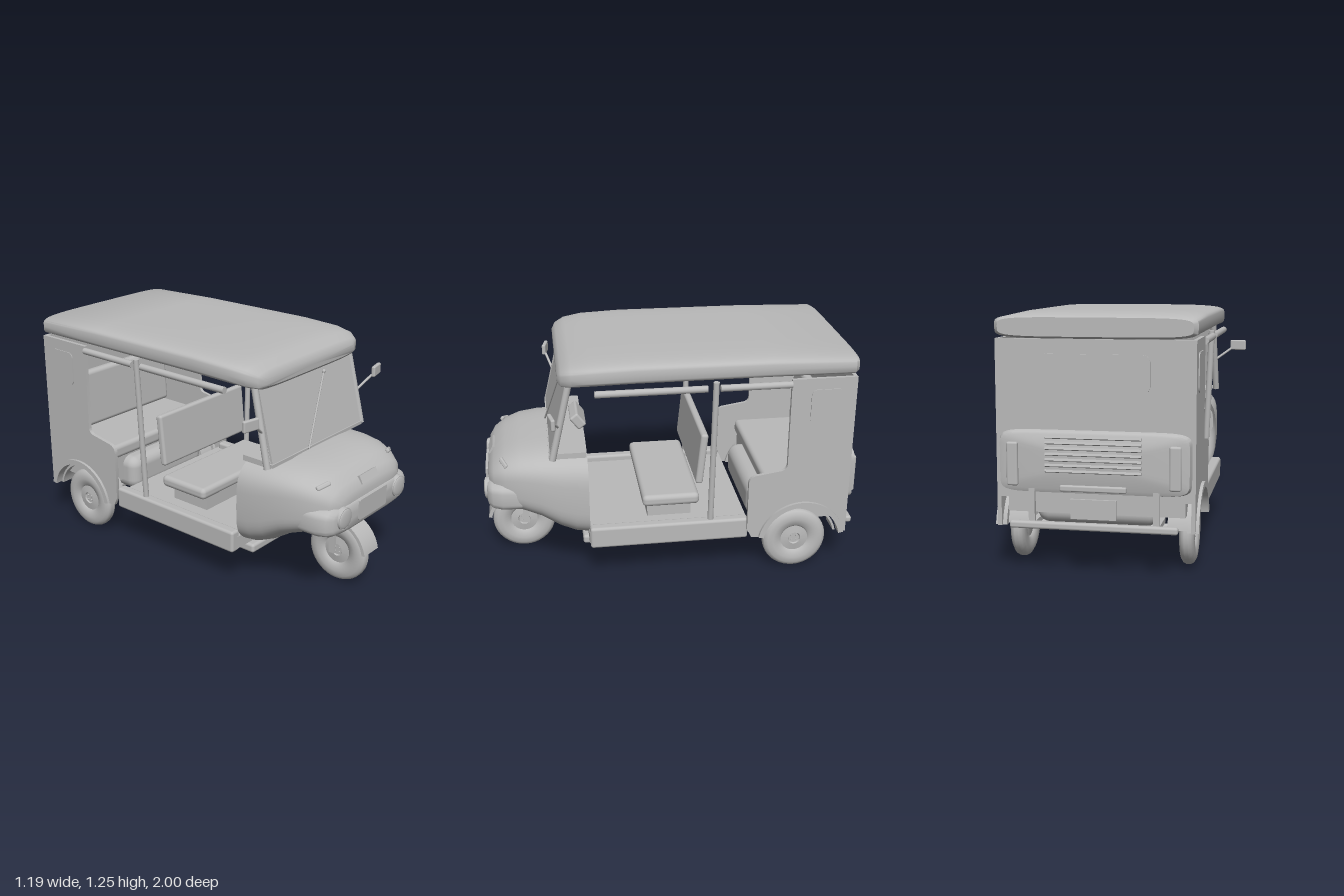
import * as THREE from 'three';
import { toCreasedNormals } from 'three/addons/utils/BufferGeometryUtils.js';
import { RoundedBoxGeometry } from 'three/addons/geometries/RoundedBoxGeometry.js';

const grey = new THREE.MeshStandardMaterial({ color: 0xbababa, side: THREE.DoubleSide });
grey.name = 'plain grey';

// Rounded loft along z; each section is [z, half width, bottom, top]
function loft(sections, power, closeBack = true) {
  const n = 64, pos = [], idx = [];
  const first = sections[0], last = sections[sections.length - 1];
  const collapse = s => [s[0], 0, (s[2] + s[3]) / 2, (s[2] + s[3]) / 2];
  const rings = [...(closeBack ? [collapse(first)] : []), ...sections, collapse(last)];
  const bend = v => Math.sign(v) * Math.abs(v) ** (2 / power);
  for (const [z, w, lo, hi] of rings) {
    for (let j = 0; j < n; j++) {
      const a = j / n * Math.PI * 2;
      pos.push(w * bend(Math.cos(a)), (lo + hi) / 2 + (hi - lo) / 2 * bend(Math.sin(a)), z);
    }
  }
  for (let i = 0; i < rings.length - 1; i++) {
    for (let j = 0; j < n; j++) {
      const k = (j + 1) % n, a = i * n + j, b = i * n + k;
      idx.push(a, b, b + n, a, b + n, a + n);
    }
  }
  const g = new THREE.BufferGeometry();
  g.setAttribute('position', new THREE.Float32BufferAttribute(pos, 3));
  g.setIndex(idx);
  return toCreasedNormals(g, 0.75);
}

// Extrude a shape drawn in (z, y) across x, from x0 to x1
function sideways(shape, x0, x1) {
  const g = new THREE.ExtrudeGeometry(shape, { depth: x1 - x0, bevelEnabled: false, curveSegments: 24 });
  return toCreasedNormals(g.rotateY(-Math.PI / 2).translate(x1, 0, 0), 0.6);
}

// Curved strip around a wheel
function arch(z, y, inner, outer, a0, a1, x0, x1) {
  const s = new THREE.Shape();
  s.absarc(z, y, outer, a0, a1, false);
  s.absarc(z, y, inner, a1, a0, true);
  return sideways(s, x0, x1);
}

// Flat rounded panel facing +z
function roundedPanel(w, h, r, depth) {
  const s = new THREE.Shape(), x = w / 2 - r, y = h / 2 - r;
  s.absarc(x, y, r, 0, Math.PI / 2);
  s.absarc(-x, y, r, Math.PI / 2, Math.PI);
  s.absarc(-x, -y, r, Math.PI, Math.PI * 1.5);
  s.absarc(x, -y, r, Math.PI * 1.5, Math.PI * 2);
  return new THREE.ExtrudeGeometry(s, { depth, bevelEnabled: false, curveSegments: 6 }).translate(0, 0, -depth / 2);
}

export function createModel() {
  const model = new THREE.Group();
  model.name = 'threeWheeler';

  const add = (name, geometry, x = 0, y = 0, z = 0, rx = 0, ry = 0, rz = 0) => {
    const m = new THREE.Mesh(geometry, grey);
    m.name = name;
    m.position.set(x, y, z);
    m.rotation.set(rx, ry, rz);
    model.add(m);
    return m;
  };
  const box = (name, w, h, d, x, y, z, rx, ry, rz) => add(name, new THREE.BoxGeometry(w, h, d), x, y, z, rx, ry, rz);
  const soft = (name, w, h, d, r, x, y, z, rx, ry, rz) =>
    add(name, new RoundedBoxGeometry(w, h, d, 3, r), x, y, z, rx, ry, rz);
  const rod = (name, from, to, r) => {
    const a = new THREE.Vector3(...from), b = new THREE.Vector3(...to), d = b.clone().sub(a);
    const m = add(name, new THREE.CylinderGeometry(r, r, d.length(), 12));
    m.position.copy(a).lerp(b, 0.5);
    m.quaternion.setFromUnitVectors(new THREE.Vector3(0, 1, 0), d.normalize());
    return m;
  };
  const sides = [[1, 'left'], [-1, 'right']];

  // Roof
  add('roof', loft([
    [-0.946, 0.465, 1.135, 1.225], [-0.925, 0.485, 1.125, 1.237], [-0.5, 0.487, 1.125, 1.25],
    [0.2, 0.487, 1.125, 1.253], [0.42, 0.482, 1.12, 1.245], [0.52, 0.46, 1.112, 1.232],
    [0.57, 0.425, 1.108, 1.21], [0.588, 0.38, 1.125, 1.18],
  ], 5));

  // Front body shell and the swollen band across its nose
  add('frontBody', loft([
    [0.45, 0.435, 0.22, 0.735], [0.52, 0.433, 0.23, 0.735], [0.6, 0.43, 0.268, 0.735],
    [0.7, 0.418, 0.335, 0.731], [0.8, 0.395, 0.375, 0.72], [0.88, 0.362, 0.4, 0.695],
    [0.94, 0.32, 0.425, 0.655], [0.968, 0.27, 0.45, 0.615], [0.975, 0.2, 0.48, 0.585],
  ], 3.8, false));
  add('noseBand', loft([
    [0.8, 0.385, 0.4, 0.575], [0.9, 0.382, 0.4, 0.578], [0.95, 0.362, 0.405, 0.573],
    [0.975, 0.335, 0.42, 0.562], [0.984, 0.29, 0.435, 0.55],
  ], 4.5));
  add('frontPlate', roundedPanel(0.25, 0.11, 0.008, 0.014), 0, 0.505, 0.985);
  box('noseBadge', 0.15, 0.045, 0.03, 0, 0.637, 0.946, -0.5);
  box('dashboard', 0.78, 0.03, 0.17, 0, 0.73, 0.54);
  soft('instrumentPod', 0.2, 0.085, 0.055, 0.012, 0, 0.79, 0.48, 0.65);

  // Windscreen and wiper
  const slope = -0.245;
  box('windscreen', 0.78, 0.41, 0.012, 0, 0.922, 0.593, slope);
  box('windscreenSill', 0.8, 0.018, 0.03, 0, 0.735, 0.635);
  rod('wiper', [-0.1, 0.74, 0.655], [0.13, 1.08, 0.57], 0.005);
  add('wiperKnob', new THREE.SphereGeometry(0.011, 12, 8), 0.13, 1.08, 0.57);

  // Front wheel guard and fork
  add('frontMudguard', arch(0.8, 0.178, 0.185, 0.203, 0.2, 2.7, -0.064, 0.064));
  box('steeringColumn', 0.09, 0.16, 0.09, 0, 0.42, 0.76);
  for (const [s] of sides) box('fork', 0.014, 0.22, 0.035, s * 0.05, 0.275, 0.79);

  // Wheels
  const tyre = [[0, -0.018], [0.03, -0.018], [0.034, -0.026], [0.075, -0.02], [0.085, -0.03], [0.12, -0.037],
    [0.15, -0.035], [0.168, -0.024], [0.175, -0.01]];
  const profile = [...tyre, ...tyre.slice().reverse().map(([r, h]) => [r, -h])].map(p => new THREE.Vector2(...p));
  const wheelGeometry = toCreasedNormals(new THREE.LatheGeometry(profile, 40), 0.6).rotateZ(Math.PI / 2);
  const wheel = (name, x, z) => {
    add(name, wheelGeometry, x, 0.175, z);
    for (let i = 0; i < 4; i++) {
      const a = (i + 0.5) * Math.PI / 2;
      add('wheelNuts', new THREE.CylinderGeometry(0.006, 0.006, 0.05, 8),
        x, 0.175 + 0.018 * Math.sin(a), z + 0.018 * Math.cos(a), 0, 0, Math.PI / 2);
    }
  };
  wheel('frontWheel', 0, 0.803);
  wheel('rearLeftWheel', 0.422, -0.665);
  wheel('rearRightWheel', -0.422, -0.665);
  rod('rearAxle', [-0.42, 0.175, -0.665], [0.42, 0.175, -0.665], 0.02);

  // Floor and underbody
  soft('underTray', 0.67, 0.05, 0.905, 0.015, 0, 0.19, 0.032);
  box('floor', 0.86, 0.07, 0.86, 0, 0.26, 0.025);
  soft('engineHousing', 0.6, 0.2, 0.48, 0.06, 0, 0.33, -0.67);

  // Driver and passenger seats
  box('driverSeatBase', 0.6, 0.1, 0.24, 0, 0.34, 0.01);
  soft('driverSeat', 0.72, 0.065, 0.31, 0.025, 0, 0.41, 0.005);
  soft('driverBackrest', 0.7, 0.29, 0.04, 0.015, 0, 0.64, -0.162, -0.1);
  box('passengerSeatBase', 0.86, 0.16, 0.4, 0, 0.37, -0.72);
  soft('passengerSeat', 0.86, 0.08, 0.4, 0.025, 0, 0.48, -0.7);
  soft('passengerBackrest', 0.86, 0.34, 0.06, 0.025, 0, 0.69, -0.88, -0.06);

  // Side panel outline with the wheel opening
  const panel = new THREE.Shape();
  panel.moveTo(-0.415, 0.22);
  panel.lineTo(-0.39, 0.27);
  panel.lineTo(-0.39, 0.54);
  panel.quadraticCurveTo(-0.39, 0.58, -0.43, 0.59);
  panel.lineTo(-0.56, 0.61);
  panel.quadraticCurveTo(-0.595, 0.615, -0.595, 0.65);
  panel.lineTo(-0.595, 1.125);
  panel.lineTo(-0.94, 1.125);
  panel.lineTo(-0.94, 0.22);
  panel.absarc(-0.69, 0.178, 0.235, Math.PI - 0.17, 0.17, true);

  for (const [s, side] of sides) {
    // Cabin sides
    const span = (a, b) => s > 0 ? [a, b] : [-b, -a];
    add(side + 'SidePanel', sideways(panel, ...span(0.46, 0.48)));
    add(side + 'SideWindow', roundedPanel(0.17, 0.19, 0.03, 0.008), s * 0.481, 0.97, -0.785, 0, Math.PI / 2);
    add(side + 'WheelArch', arch(-0.69, 0.178, 0.212, 0.24, 0.18, Math.PI - 0.18, ...span(0.44, 0.495)));
    add(side + 'WheelWell', arch(-0.68, 0.178, 0.2, 0.212, 0.2, Math.PI - 0.2, ...span(0.34, 0.46)));
    soft(side + 'Sill', 0.06, 0.12, 0.85, 0.015, s * 0.438, 0.27, 0.027);
    rod(side + 'DoorPost', [s * 0.437, 0.3, -0.195], [s * 0.472, 1.13, -0.205], 0.016);
    rod(side + 'FrontRail', [s * 0.48, 1.1, 0.41], [s * 0.48, 1.1, -0.16], 0.018);
    rod(side + 'RearRail', [s * 0.48, 1.1, -0.225], [s * 0.48, 1.1, -0.595], 0.018);
    rod(side + 'ScreenPillar', [s * 0.418, 0.725, 0.632], [s * 0.405, 1.13, 0.535], 0.018);

    // Mirrors, lamps and indicators
    rod(side + 'MirrorArm', [s * 0.42, 0.91, 0.595], [s * 0.51, 0.975, 0.628], 0.007);
    soft(side + 'Mirror', 0.095, 0.06, 0.022, 0.008, s * 0.55, 0.995, 0.63, 0, s * 0.2);
    add(side + 'Headlamp', new THREE.CylinderGeometry(0.056, 0.064, 0.05, 32), s * 0.25, 0.505, 0.966, Math.PI / 2);
    add(side + 'HeadlampLens', new THREE.SphereGeometry(0.053, 24, 12).scale(1, 1, 0.2), s * 0.25, 0.505, 0.989);
    soft(side + 'Indicator', 0.08, 0.024, 0.02, 0.008, s * 0.298, 0.668, 0.885, -0.6, s * 0.5);
    soft(side + 'TailLamp', 0.055, 0.21, 0.03, 0.01, s * 0.39, 0.535, -0.978);
    box(side + 'BumperBracket', 0.03, 0.18, 0.02, s * 0.3, 0.335, -0.965);
  }

  // Rear wall with window, swollen panel and louvres
  box('rearWall', 0.95, 0.76, 0.02, 0, 0.745, -0.93);
  add('rearWindow', roundedPanel(0.53, 0.18, 0.035, 0.008), 0, 0.965, -0.941);
  add('rearPanel', loft([
    [-0.976, 0.43, 0.42, 0.68], [-0.968, 0.455, 0.4, 0.69], [-0.925, 0.468, 0.39, 0.7],
  ], 9));
  for (let i = 0; i < 7; i++) box('louvre', 0.46, 0.012, 0.018, 0, 0.505 + i * 0.027, -0.98, 0.4);
  soft('plateLampBar', 0.32, 0.03, 0.03, 0.008, 0, 0.425, -0.975);
  box('rearPlate', 0.22, 0.095, 0.014, 0, 0.325, -0.972);
  soft('rearBumper', 0.81, 0.036, 0.035, 0.012, 0, 0.243, -0.982);
  for (const [s] of sides) box('bumperStay', 0.03, 0.025, 0.2, s * 0.3, 0.243, -0.88);

  return model;
}
